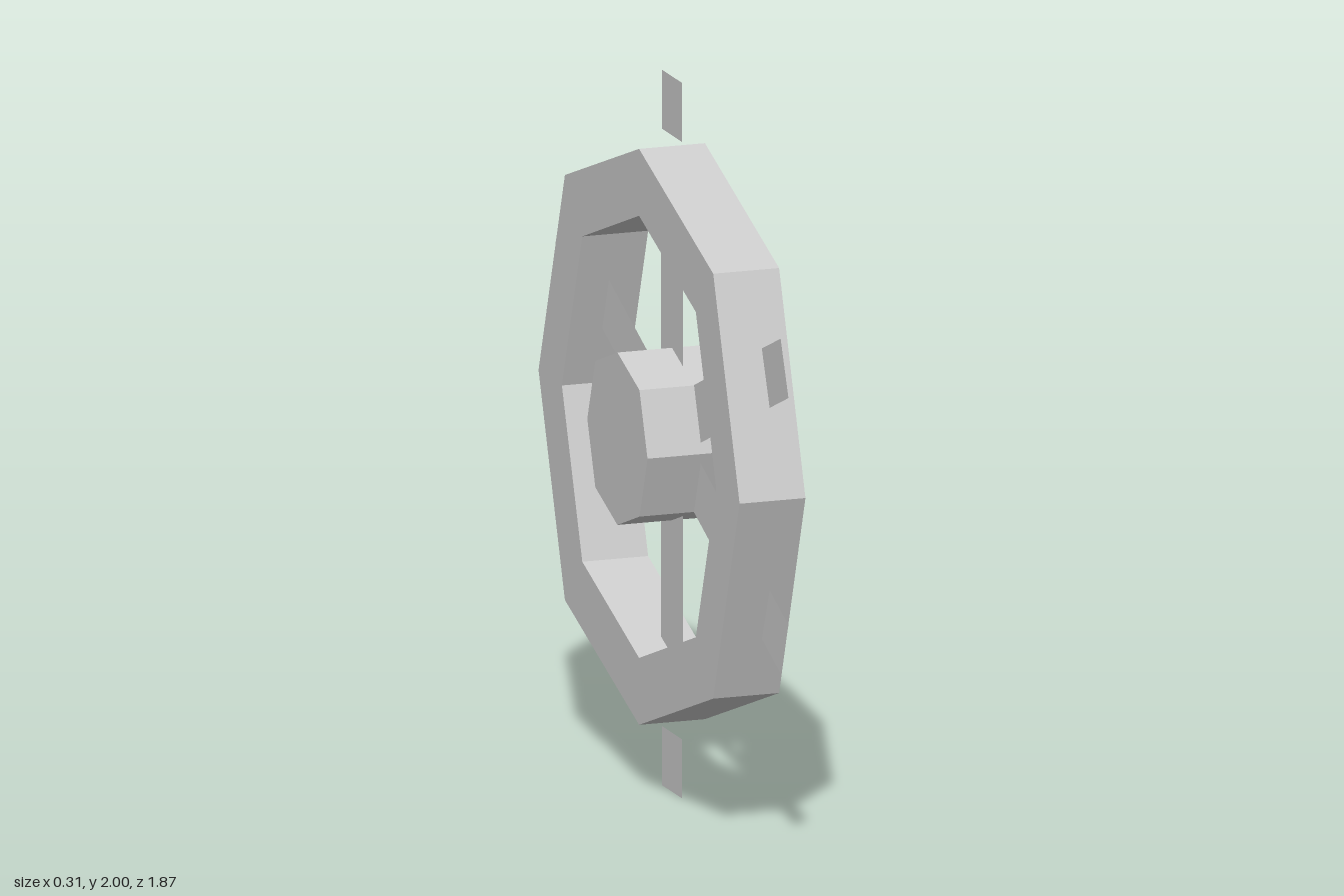
import * as THREE from 'three';

const material = new THREE.MeshStandardMaterial({ color: 0xcccccc, flatShading: true });
const sheetMaterial = new THREE.MeshStandardMaterial({
  color: 0xcccccc, flatShading: true, side: THREE.DoubleSide,
});

// Octagon with slightly different radii on the axes and on the diagonals
function octagon(axial, diagonal) {
  const points = [];
  for (let i = 0; i < 8; i++) {
    const r = i % 2 ? diagonal : axial;
    const a = i * Math.PI / 4;
    points.push(new THREE.Vector2(r * Math.cos(a), r * Math.sin(a)));
  }
  return points;
}

// Extrudes an outline symmetrically about its own plane
function slab(name, shape, depth) {
  const geometry = new THREE.ExtrudeGeometry(shape, { depth, bevelEnabled: false });
  geometry.translate(0, 0, -depth / 2);
  const mesh = new THREE.Mesh(geometry, material);
  mesh.name = name;
  return mesh;
}

// Thin rectangle running outward from radius r0 to r1
function blade(name, r0, r1, width, offset) {
  const geometry = new THREE.PlaneGeometry(r1 - r0, width);
  geometry.translate((r0 + r1) / 2, offset, 0);
  const mesh = new THREE.Mesh(geometry, sheetMaterial);
  mesh.name = name;
  return mesh;
}

export function createModel() {
  const model = new THREE.Group();
  model.name = 'shipWheel';

  // Wheel is laid out in a plane, then turned so its axle runs along x
  const wheel = new THREE.Group();
  wheel.name = 'wheel';
  wheel.rotation.y = Math.PI / 2;
  wheel.position.y = 1;
  model.add(wheel);

  // Octagonal rim
  const rim = new THREE.Shape(octagon(0.805, 0.84));
  rim.holes.push(new THREE.Path(octagon(0.618, 0.643).reverse()));
  wheel.add(slab('rim', rim, 0.19));

  // Hub
  wheel.add(slab('hub', new THREE.Shape(octagon(0.241, 0.25)), 0.315));

  // Six flat spokes, each with a separate handle outside the rim
  const arms = [
    [90, 0], [270, 0],
    [22.5, 0.018], [202.5, 0.018],
    [157.5, -0.018], [337.5, -0.018],
  ];
  for (const [degrees, offset] of arms) {
    const upright = offset === 0;
    const arm = new THREE.Group();
    arm.name = 'arm';
    arm.rotation.z = THREE.MathUtils.degToRad(degrees);
    arm.add(blade('spoke', 0.12, 0.68, upright ? 0.174 : 0.158, offset));
    arm.add(blade('handle', upright ? 0.835 : 0.82, upright ? 1 : 0.983, 0.164, offset));
    wheel.add(arm);
  }
  return model;
}
